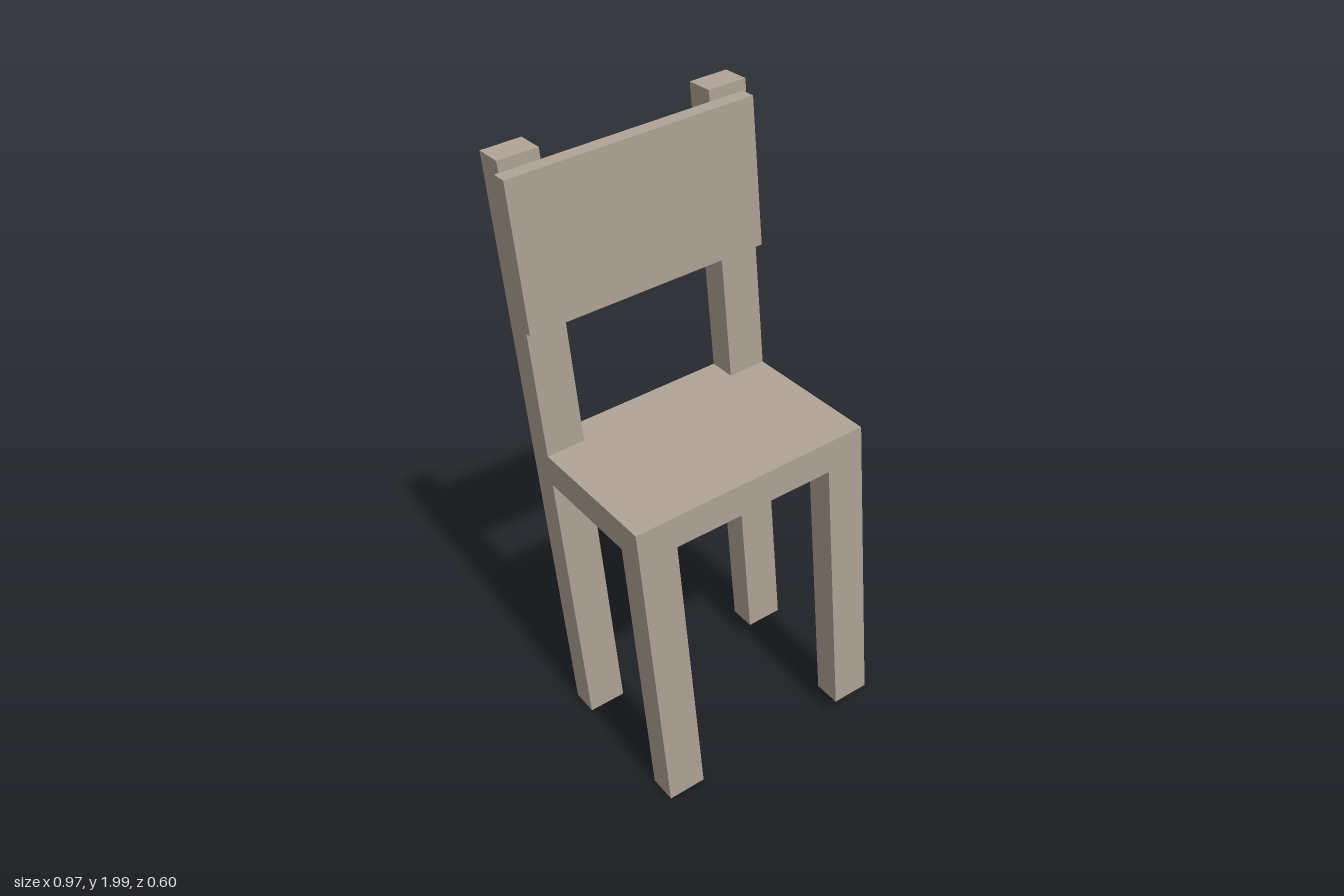
import * as THREE from 'three';

export function createModel() {
  const wood = new THREE.MeshStandardMaterial({ color: 0xb0a396 });
  wood.name = 'pale taupe wood';

  // Chair frame of reference: origin at the centre of the seat top
  const chair = new THREE.Group();
  chair.name = 'chair';

  // Box given by its min and max corner
  function block(name, [x0, y0, z0], [x1, y1, z1]) {
    const mesh = new THREE.Mesh(new THREE.BoxGeometry(x1 - x0, y1 - y0, z1 - z0), wood);
    mesh.position.set((x0 + x1) / 2, (y0 + y1) / 2, (z0 + z1) / 2);
    mesh.name = name;
    chair.add(mesh);
  }

  const W = 0.3785, D = 0.2775;       // half width and half depth of the seat
  const legW = 0.12, legD = 0.09;     // leg section
  const seatT = 0.1, legBottom = -1.018, postTop = 0.896;

  block('seat', [-W, -seatT, -D], [W, 0, D]);

  // Legs and back posts, flush with the seat's corners
  for (const [side, x] of [['left', W - legW], ['right', -W]]) {
    block(side + 'FrontLeg', [x, legBottom, D - legD], [x + legW, -seatT, D]);
    block(side + 'RearLeg', [x, legBottom, -D], [x + legW, -seatT, -D + legD]);
    block(side + 'BackPost', [x, 0, -D], [x + legW, postTop, -D + legD]);
  }

  // Backrest panel on the front of the posts, slightly off centre
  block('backrest', [-W - 0.012, 0.421, -D + legD], [W - 0.012, 0.864, -D + legD + 0.048]);

  // The whole chair leans over
  chair.rotation.set(0.018, -0.035, 0.109);
  chair.position.set(-0.011, 1.061, 0.007);

  const model = new THREE.Group();
  model.name = 'tiltedChair';
  model.add(chair);
  return model;
}
